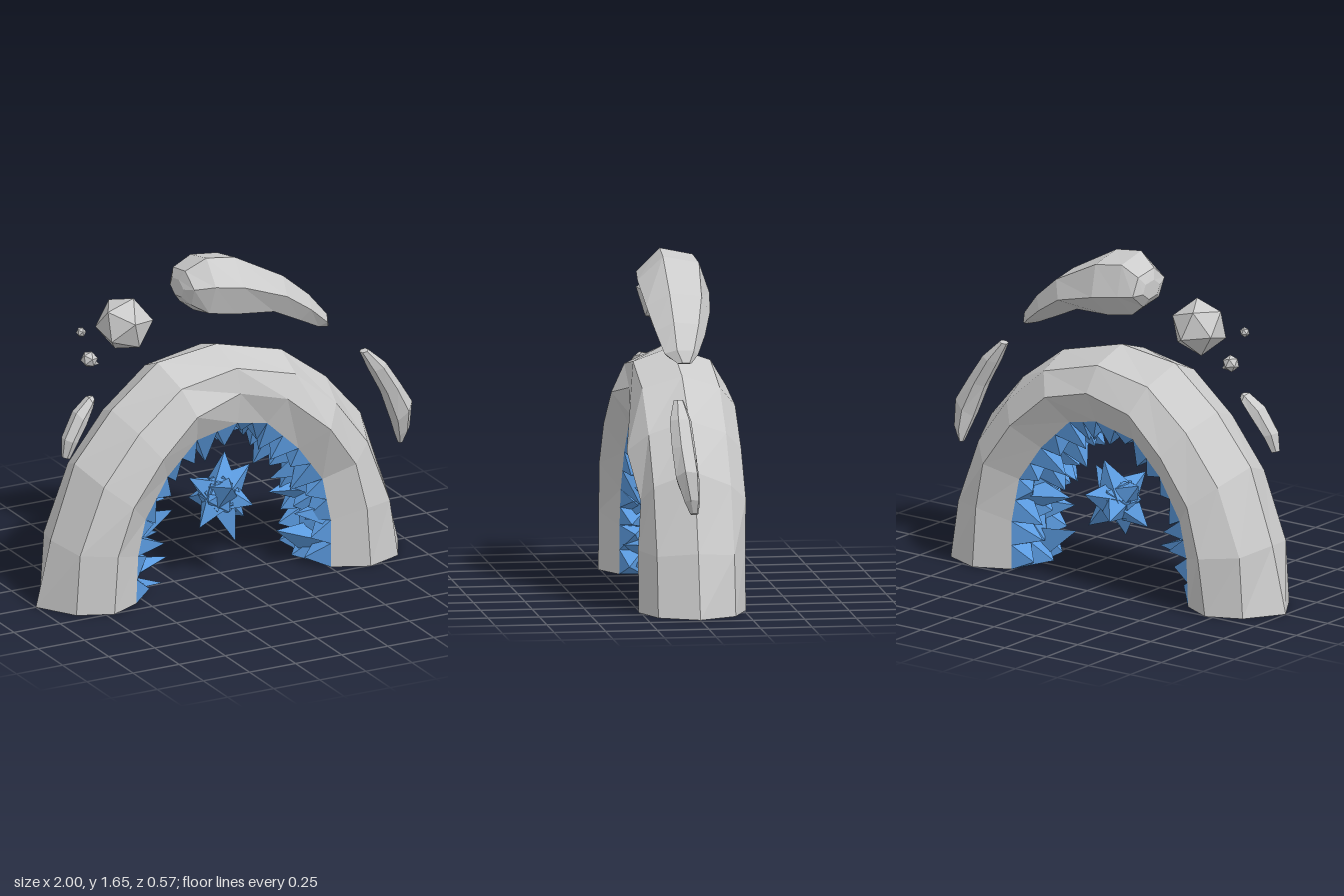
import * as THREE from 'three';

const grey = new THREE.MeshStandardMaterial({ color: 0xcccccc, flatShading: true });
const openGrey = new THREE.MeshStandardMaterial({ color: 0xcccccc, flatShading: true, side: THREE.DoubleSide });
const blue = new THREE.MeshStandardMaterial({ color: 0x5b9be0, flatShading: true, side: THREE.DoubleSide });

let seed = 11;
const rand = () => (seed = (seed * 16807) % 2147483647) / 2147483647;
const jitter = (a) => (rand() - 0.5) * 2 * a;

function add(parent, name, geometry, material) {
  const m = new THREE.Mesh(geometry, material);
  m.name = name;
  parent.add(m);
  return m;
}

function surface(pos, idx) {
  const g = new THREE.BufferGeometry();
  g.setAttribute('position', new THREE.Float32BufferAttribute(pos, 3));
  g.setIndex(idx);
  g.computeVertexNormals();
  return g;
}

// Skin over rings of points: closed and capped, or an open strip
function loft(rings, closed) {
  const n = rings[0].length, idx = [];
  for (let i = 0; i < rings.length - 1; i++) {
    for (let j = 0; j < (closed ? n : n - 1); j++) {
      const a = i * n + j, b = i * n + (j + 1) % n;
      idx.push(a, b, b + n, a, b + n, a + n);
    }
  }
  const end = (rings.length - 1) * n;
  for (let j = 1; closed && j < n - 1; j++) idx.push(0, j + 1, j, end, end + j, end + j + 1);
  return surface(rings.flat(2), idx);
}

// Curved boulder: stations of [outerX, outerY, innerX, innerY, z, halfDepth], section turned by twist
function boulder(stations, twist) {
  return loft(stations.map(([ox, oy, ix, iy, z, d]) => {
    const ring = [];
    for (let k = 0; k < 6; k++) {
      const a = twist + k * Math.PI / 3, c = Math.cos(a) / Math.cos(twist) / 2;
      ring.push([(ox + ix) / 2 + (ox - ix) * c, (oy + iy) / 2 + (oy - iy) * c, z + d * Math.sin(a)]);
    }
    return ring;
  }), true);
}

// Spike from a base point to a tip
function spike(parent, name, base, tip, radius, sides, material) {
  const from = new THREE.Vector3(...base), dir = new THREE.Vector3(...tip).sub(from), len = dir.length();
  const g = new THREE.ConeGeometry(radius, len, sides);
  g.rotateY(rand() * 6);
  g.translate(0, len / 2, 0);
  const m = add(parent, name, g, material);
  m.position.copy(from);
  m.quaternion.setFromUnitVectors(new THREE.Vector3(0, 1, 0), dir.normalize());
}

// Arch contour lines from the outer ridge to the inner rim, foot to foot
const ridge = [[-1, 0], [-0.92, 0.33], [-0.79, 0.7], [-0.59, 0.94], [-0.34, 1.14], [-0.02, 1.18],
  [0.33, 1.09], [0.57, 0.91], [0.76, 0.69], [0.89, 0.31], [0.965, 0]];
const shoulder = [[-0.88, 0], [-0.86, 0.3], [-0.73, 0.63], [-0.54, 0.87], [-0.31, 1.06], [-0.01, 1.115],
  [0.31, 1.03], [0.53, 0.84], [0.7, 0.61], [0.82, 0.29], [0.865, 0]];
const belly = [[-0.71, 0], [-0.69, 0.29], [-0.61, 0.53], [-0.45, 0.75], [-0.26, 0.93], [0, 0.99],
  [0.24, 0.93], [0.45, 0.75], [0.61, 0.53], [0.66, 0.3], [0.68, 0]];
const rim = [[-0.55, 0], [-0.54, 0.24], [-0.5, 0.42], [-0.38, 0.62], [-0.22, 0.78], [0, 0.83],
  [0.16, 0.8], [0.33, 0.64], [0.46, 0.46], [0.505, 0.24], [0.505, 0]];
const frontZ = [0.26, 0.26, 0.27, 0.27, 0.26, 0.21, 0.24, 0.285, 0.24, 0.26, 0.26];
const backZ = [0.26, 0.29, 0.27, 0.27, 0.27, 0.26, 0.27, 0.27, 0.27, 0.26, 0.26];
const inward = rim.map(([x, y], i) => new THREE.Vector2(x - belly[i][0], y - belly[i][1]).normalize());

// Crystal lining: every cell inside the rim rises to its own pointed pyramid
function crystalLining() {
  const pos = [], idx = [], depths = [0.18, 0.07, -0.07, -0.18];
  const grid = rim.map(([x, y], i) => depths.map((z, k) => {
    const d = k % 3 === 0 ? 0 : 0.03 + jitter(0.02);
    return [x + inward[i].x * d, Math.max(0, y + inward[i].y * d), z];
  }));
  for (let i = 0; i < rim.length - 1; i++) {
    // Two cells along each segment of the rim
    for (let h = 0; h < 2; h++) {
      const row = (t) => depths.map((z, k) => grid[i][k].map((v, c) => v + (grid[i + 1][k][c] - v) * t));
      const lo = row(h / 2), hi = row((h + 1) / 2);
      for (let k = 0; k < 3; k++) {
        const corners = [lo[k], lo[k + 1], hi[k + 1], hi[k]];
        const d = 0.06 + rand() * 0.08;
        const apex = [0, 1, 2].map((c) => corners.reduce((s, p) => s + p[c] / 4, 0));
        apex[0] += inward[i].x * d + jitter(0.03);
        apex[1] = Math.max(0.02, apex[1] + inward[i].y * d + jitter(0.03));
        apex[2] += jitter(0.03);
        const b = pos.length / 3;
        pos.push(...corners.flat(), ...apex);
        for (let e = 0; e < 4; e++) idx.push(b + e, b + (e + 1) % 4, b + 4);
      }
    }
  }
  return surface(pos, idx);
}

export function createModel() {
  seed = 11;
  const model = new THREE.Group();
  model.name = 'crystalArch';

  // Hollow stone arch, open at both feet
  add(model, 'stoneArch', loft(ridge.map((r, i) => [
    [...rim[i], -0.18], [...belly[i], -backZ[i]], [...shoulder[i], -0.185], [...r, 0],
    [...shoulder[i], 0.19], [...belly[i], frontZ[i]], [...rim[i], 0.18],
  ]), false), openGrey);

  add(model, 'crystalLining', crystalLining(), blue);

  // Large crystals: [baseX, baseY, tipX, tipY, z, radius]
  const crystals = new THREE.Group();
  crystals.name = 'largeCrystals';
  model.add(crystals);
  [[-0.52, 0.36, -0.27, 0.38, 0.08, 0.09], [-0.53, 0.27, -0.3, 0.24, -0.06, 0.08],
    [-0.54, 0.14, -0.33, 0.17, 0.1, 0.07], [-0.54, 0.06, -0.37, 0.05, 0.06, 0.05],
    [-0.48, 0.5, -0.31, 0.44, 0.02, 0.1], [-0.42, 0.6, -0.3, 0.6, 0.08, 0.1],
    [-0.26, 0.74, -0.18, 0.63, -0.08, 0.09], [-0.07, 0.82, -0.05, 0.71, 0.06, 0.08],
    [0.05, 0.82, 0.02, 0.7, -0.06, 0.08], [0.36, 0.62, 0.3, 0.54, -0.06, 0.09],
    [0.43, 0.53, 0.26, 0.44, 0.06, 0.09], [0.49, 0.36, 0.27, 0.36, -0.04, 0.09],
    [0.5, 0.1, 0.28, 0.18, 0.04, 0.1], [0.5, 0.25, 0.34, 0.28, 0.1, 0.07],
  ].forEach(([bx, by, tx, ty, z, r], i) =>
    spike(crystals, 'largeCrystal', [bx, by, z], [tx, ty, z + jitter(0.06)], r, 3 + i % 2, blue));

  // Floating crystal star: tip offsets around its core
  const star = new THREE.Group();
  star.name = 'crystalStar';
  star.position.set(0, 0.4, 0);
  model.add(star);
  add(star, 'starCore', new THREE.IcosahedronGeometry(0.11, 0), blue);
  [[0.05, 0.2, -0.05], [0.15, 0.14, 0.02], [0.15, -0.15, -0.04], [0.03, -0.21, 0.1], [-0.14, -0.13, 0.05],
    [-0.15, 0.1, -0.04], [-0.03, 0.1, 0.18], [0.1, -0.02, 0.15], [-0.08, -0.06, -0.18], [0.07, 0.05, -0.18],
  ].forEach((t) => spike(star, 'starPoint', [0, 0, 0], t, 0.11, 4, blue));

  // Floating boulders
  add(model, 'topBoulder', boulder([
    [-0.22, 1.54, -0.22, 1.45, -0.03, 0.07], [-0.2, 1.59, -0.19, 1.41, -0.02, 0.13],
    [-0.1, 1.65, -0.12, 1.355, 0, 0.165], [0.05, 1.63, 0.02, 1.33, 0, 0.18],
    [0.31, 1.49, 0.22, 1.32, 0.01, 0.16], [0.45, 1.37, 0.37, 1.25, 0.02, 0.125],
    [0.55, 1.25, 0.48, 1.2, 0.03, 0.085], [0.57, 1.19, 0.54, 1.18, 0.02, 0.035],
  ], 0.3), grey);
  add(model, 'leftBoulder', boulder([
    [0.76, 1.04, 0.72, 1.03, 0.075, 0.025], [0.85, 0.96, 0.77, 0.93, 0.075, 0.055],
    [0.93, 0.84, 0.84, 0.8, 0.07, 0.06], [1, 0.73, 0.9, 0.64, 0.06, 0.06],
    [1, 0.59, 0.93, 0.56, 0.04, 0.04], [0.97, 0.52, 0.95, 0.51, 0.03, 0.02],
  ], 0.3), grey);
  add(model, 'rightBoulder', boulder([
    [-0.9, 0.78, -0.86, 0.77, 0.08, 0.025], [-0.89, 0.87, -0.82, 0.85, 0.075, 0.05],
    [-0.82, 0.99, -0.77, 0.92, 0.06, 0.055], [-0.74, 1.05, -0.725, 0.995, 0.045, 0.04],
    [-0.715, 1.05, -0.71, 1.02, 0.04, 0.02],
  ], 0.3), grey);

  // Faceted stones
  [['largeStone', -0.505, 1.36, -0.03, 0.14], ['smallStone', -0.695, 1.21, -0.03, 0.042],
    ['pebble', -0.755, 1.37, 0, 0.025]].forEach(([name, x, y, z, r]) => {
    const stone = add(model, name, new THREE.IcosahedronGeometry(r, 0), grey);
    stone.position.set(x, y, z);
    stone.rotation.set(0.25, 0.1, 0.3);
  });
  spike(model, 'smallStoneTip', [-0.69, 1.2, -0.03], [-0.64, 1.175, -0.03], 0.03, 4, grey);

  return model;
}
